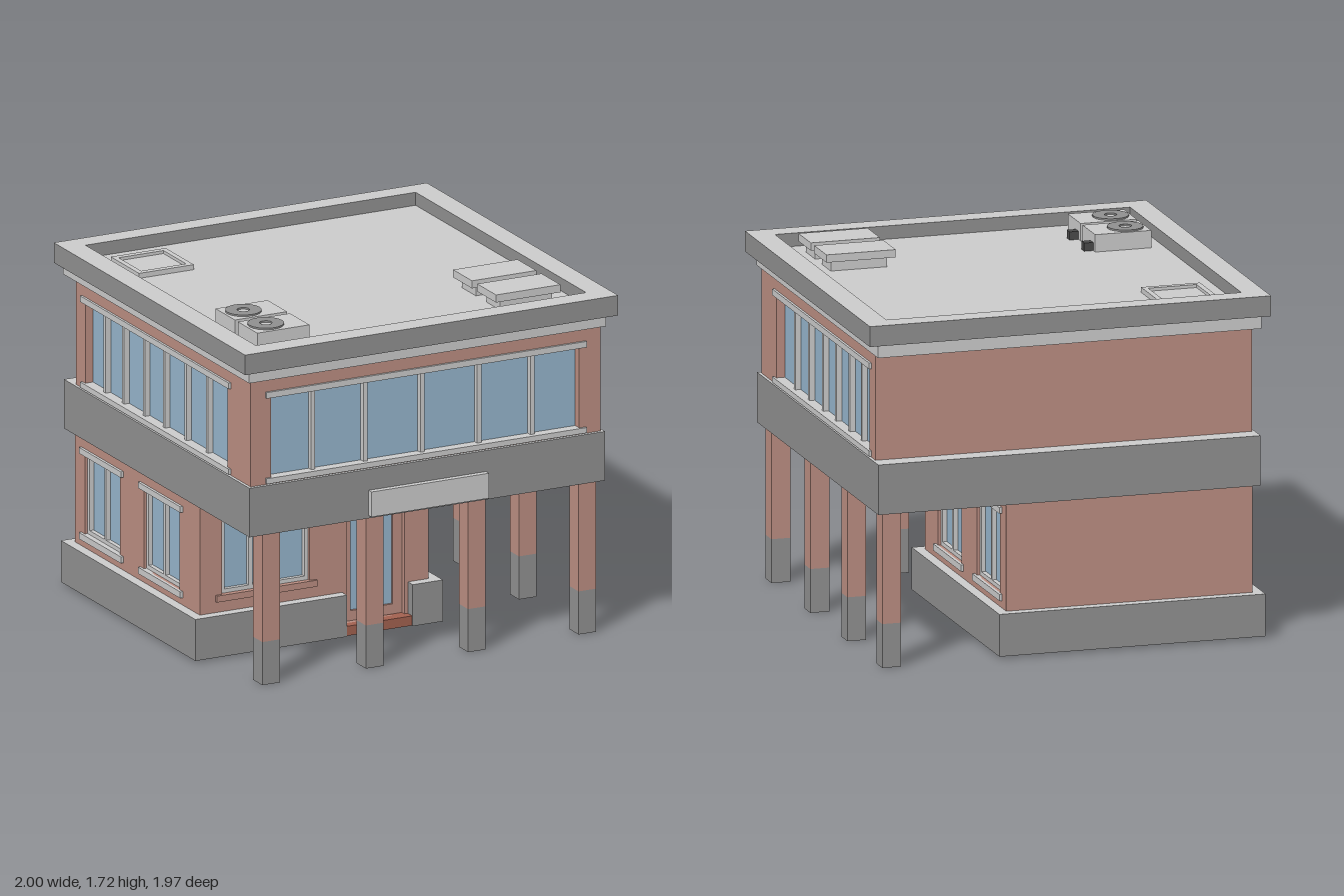
import * as THREE from 'three';

const mat = (name, color, side = THREE.FrontSide) => {
  const m = new THREE.MeshStandardMaterial({ color, side });
  m.name = name;
  return m;
};

export function createModel() {
  const root = new THREE.Group();
  root.name = 'building';
  const brick = mat('brick', 0xba8d81);
  const light = mat('light concrete', 0xcacaca);
  const grey = mat('grey concrete', 0x8f8f8f);
  const soffit = mat('soffit grey', 0x747474);
  const glass = mat('glass', 0x95b4cb);
  const red = mat('red clay', 0xa1604f);
  const dark = mat('dark metal', 0x4a4a4a);
  // grey slab with a light top and a darker underside
  const slab = [grey, grey, light, soffit, grey, grey];

  // box given by its min and max on each axis
  function box(parent, name, m, x0, x1, y0, y1, z0, z1) {
    const mesh = new THREE.Mesh(new THREE.BoxGeometry(x1 - x0, y1 - y0, z1 - z0), m);
    mesh.position.set((x0 + x1) / 2, (y0 + y1) / 2, (z0 + z1) / 2);
    mesh.name = name;
    parent.add(mesh);
    return mesh;
  }

  const rect = (T, x0, x1, y0, y1) => {
    const s = new T();
    s.moveTo(x0, y0);
    s.lineTo(x1, y0);
    s.lineTo(x1, y1);
    s.lineTo(x0, y1);
    s.closePath();
    return s;
  };

  // flat wall with rectangular openings; its outer face lies at local z = 0
  const T = 0.05;
  function wall(parent, name, m, x0, x1, y0, y1, holes, depth = T, zBack = -T) {
    const s = rect(THREE.Shape, x0, x1, y0, y1);
    holes.forEach(h => s.holes.push(rect(THREE.Path, ...h)));
    const g = new THREE.ExtrudeGeometry(s, { depth, bevelEnabled: false });
    g.translate(0, 0, zBack);
    const mesh = new THREE.Mesh(g, m);
    mesh.name = name;
    parent.add(mesh);
  }

  // group holding one facade, turned outward: 0 front, +1 left side, -1 right side
  function facade(name, dir, offset) {
    const g = new THREE.Group();
    g.name = name;
    g.rotation.y = dir * Math.PI / 2;
    if (dir) g.position.x = dir * Math.abs(offset); else g.position.z = offset;
    root.add(g);
    return g;
  }
  // z range of a side facade turned into its local x range
  const span = (dir, za, zb) => [-dir * za, -dir * zb].sort((a, b) => a - b);

  // ribbon window: glass, mullions, top and bottom trim
  function ribbon(g, x0, x1, mullions) {
    box(g, 'ribbonGlass', glass, x0, x1, 1.03, 1.445, -0.05, -0.042);
    mullions.forEach(x => box(g, 'mullion', light, x - 0.011, x + 0.011, 1.03, 1.445, -0.042, -0.015));
    box(g, 'windowHead', light, x0 - 0.03, x1 + 0.035, 1.437, 1.467, -0.045, 0.012);
    box(g, 'windowSill', light, x0 - 0.03, x1 + 0.035, 1.01, 1.037, -0.045, 0.012);
  }

  // framed window with a row of panes, between a head and a sill
  function casement(g, x0, x1, y0, y1, panes, sillMat) {
    const f = 0.02, w = (x1 - x0 - f * (panes + 1)) / panes, holes = [];
    for (let i = 0; i < panes; i++) {
      const a = x0 + f + i * (w + f);
      holes.push([a, a + w, y0 + f, y1 - f]);
    }
    wall(g, 'windowFrame', light, x0, x1, y0, y1, holes, 0.025, -0.04);
    box(g, 'windowGlass', glass, x0, x1, y0, y1, -0.045, -0.037);
    box(g, 'windowHead', light, x0 - 0.035, x1 + 0.035, y1, y1 + 0.03, -0.04, 0.014);
    box(g, 'windowSill', sillMat, x0 - 0.035, x1 + 0.035, y0 - 0.032, y0, -0.04, 0.014);
  }

  // upper floor
  const UX = 0.938, UF = 0.918, UB = -0.877;
  const upFront = facade('upperFront', 0, UF);
  wall(upFront, 'upperFrontWall', brick, -UX, UX, 1.0, 1.53, [[-0.828, 0.823, 1.03, 1.445]]);
  ribbon(upFront, -0.828, 0.823, [-0.595, -0.315, -0.01, 0.295, 0.58]);
  for (const d of [1, -1]) {
    const g = facade(d > 0 ? 'upperLeft' : 'upperRight', d, UX);
    const [a, b] = span(d, UF - T, UB), [c, e] = span(d, 0.68, -0.78);
    wall(g, 'upperSideWall', brick, a, b, 1.0, 1.53, [[c, e, 1.03, 1.445]]);
    ribbon(g, c, e, [0.44, 0.22, 0, -0.205, -0.42, -0.61].map(z => -d * z));
  }
  box(root, 'upperBackWall', brick, -UX + T, UX - T, 1.0, 1.53, UB, UB + T);

  // floor slab band with a blank sign board
  box(root, 'floorBand', slab, -0.953, 0.953, 0.76, 1.005, -0.97, 0.935);
  box(root, 'signBoard', light, -0.315, 0.315, 0.775, 0.9, 0.93, 0.965);

  // roof: cornice, deck and parapet
  box(root, 'cornice', light, -0.956, 0.956, 1.53, 1.592, -0.975, 0.937);
  box(root, 'roofDeck', slab, -0.89, 0.89, 1.591, 1.625, -0.89, 0.88);
  for (const s of [1, -1]) {
    box(root, 'parapetSide', slab, s > 0 ? 0.885 : -1, s > 0 ? 1 : -0.885, 1.59, 1.69, -0.985, 0.98);
  }
  box(root, 'parapetFront', slab, -0.885, 0.885, 1.59, 1.69, 0.87, 0.98);
  box(root, 'parapetBack', slab, -0.885, 0.885, 1.59, 1.69, -0.985, -0.88);

  // roof equipment
  for (const z of [0.43, 0.66]) {
    box(root, 'coolingUnit', light, -0.82, -0.54, 1.625, 1.71, z - 0.1, z + 0.1);
    const ring = new THREE.Shape().absarc(0, 0, 0.087, 0, Math.PI * 2);
    ring.holes.push(new THREE.Path().absarc(0, 0, 0.03, 0, Math.PI * 2, true));
    const fan = new THREE.Mesh(
      new THREE.ExtrudeGeometry(ring, { depth: 0.008, bevelEnabled: false, curveSegments: 10 }), grey);
    fan.rotation.x = -Math.PI / 2;
    fan.position.set(-0.72, 1.71, z - 0.004);
    fan.name = 'fanGrille';
    root.add(fan);
    box(root, 'pipe', dark, -0.54, -0.495, 1.625, 1.665, z - 0.07, z - 0.025);
  }
  for (const z of [0.425, 0.672]) {
    box(root, 'ventBase', light, 0.49, 0.77, 1.625, 1.68, z - 0.07, z + 0.07);
    box(root, 'ventLid', light, 0.455, 0.8, 1.675, 1.713, z - 0.097, z + 0.097);
  }
  const hatch = new THREE.Group();
  hatch.name = 'roofHatch';
  hatch.rotation.x = -Math.PI / 2;
  hatch.position.set(-0.657, 1.625, -0.63);
  root.add(hatch);
  wall(hatch, 'hatchFrame', light, -0.147, 0.147, -0.145, 0.145, [[-0.12, 0.12, -0.115, 0.115]], 0.025, 0);
  box(hatch, 'hatchCover', light, -0.12, 0.12, -0.115, 0.115, 0, 0.01);

  // ground floor
  const GL = -0.94, GR = 0.287, GF = 0.4, GB = -0.88;
  const front = facade('groundFront', 0, GF);
  wall(front, 'groundFrontWall', brick, GL, GR, 0.01, 0.76,
    [[-0.82, -0.352, 0.303, 0.703], [-0.155, 0.157, 0.06, 0.705]]);
  casement(front, -0.82, -0.352, 0.303, 0.703, 3, brick);
  wall(front, 'doorLeaf', brick, -0.155, 0.157, 0.06, 0.705, [[-0.12, 0.107, 0.11, 0.66]], 0.02, -0.045);
  box(front, 'doorGlass', glass, -0.13, 0.117, 0.1, 0.67, -0.046, -0.038);
  box(front, 'doorStep', red, -0.177, 0.175, 0.012, 0.06, -0.04, 0.045);
  box(front, 'innerPlinth', red, GL + T, GR - T, 0.012, 0.2, -0.058, -0.05);
  for (const d of [1, -1]) {
    const g = facade(d > 0 ? 'groundLeft' : 'groundRight', d, d > 0 ? GR : GL);
    const [a, b] = span(d, GF - T, GB);
    const wins = [[0.19, -0.175], [-0.42, -0.78]].map(w => span(d, ...w));
    wall(g, 'groundSideWall', brick, a, b, 0.01, 0.76, wins.map(w => [...w, 0.285, 0.68]));
    wins.forEach(w => casement(g, ...w, 0.285, 0.68, 2, light));
  }
  box(root, 'groundBackWall', brick, GL + T, GR - T, 0.01, 0.76, GB, GB + T);
  box(root, 'groundFloor', light, GL + T, GR - T, 0.2, 0.215, GB + T, GF - T);

  // plinth around the ground floor, open at the door
  box(root, 'plinthFrontRight', slab, GL - T, -0.177, 0.01, 0.217, GF, GF + T);
  box(root, 'plinthFrontLeft', slab, 0.175, GR + T, 0.01, 0.217, GF, GF + T);
  box(root, 'plinthBack', slab, GL - T, GR + T, 0.01, 0.217, GB - T, GB);
  box(root, 'plinthRight', slab, GL - T, GL, 0.01, 0.217, GB, GF);
  box(root, 'plinthLeft', slab, GR, GR + T, 0.01, 0.217, GB, GF);

  // posts with grey feet, along the front and the left side
  const posts = [[-0.82, 0.855], [-0.265, 0.855], [0.283, 0.855], [0.875, 0.855],
    [0.875, 0.243], [0.875, -0.338], [0.875, -0.887]];
  const h = 0.047;
  for (const [x, z] of posts) {
    box(root, 'postFoot', grey, x - h, x + h, 0, 0.215, z - h, z + h);
    box(root, 'post', brick, x - h, x + h, 0.215, 0.76, z - h, z + h);
  }
  return root;
}
